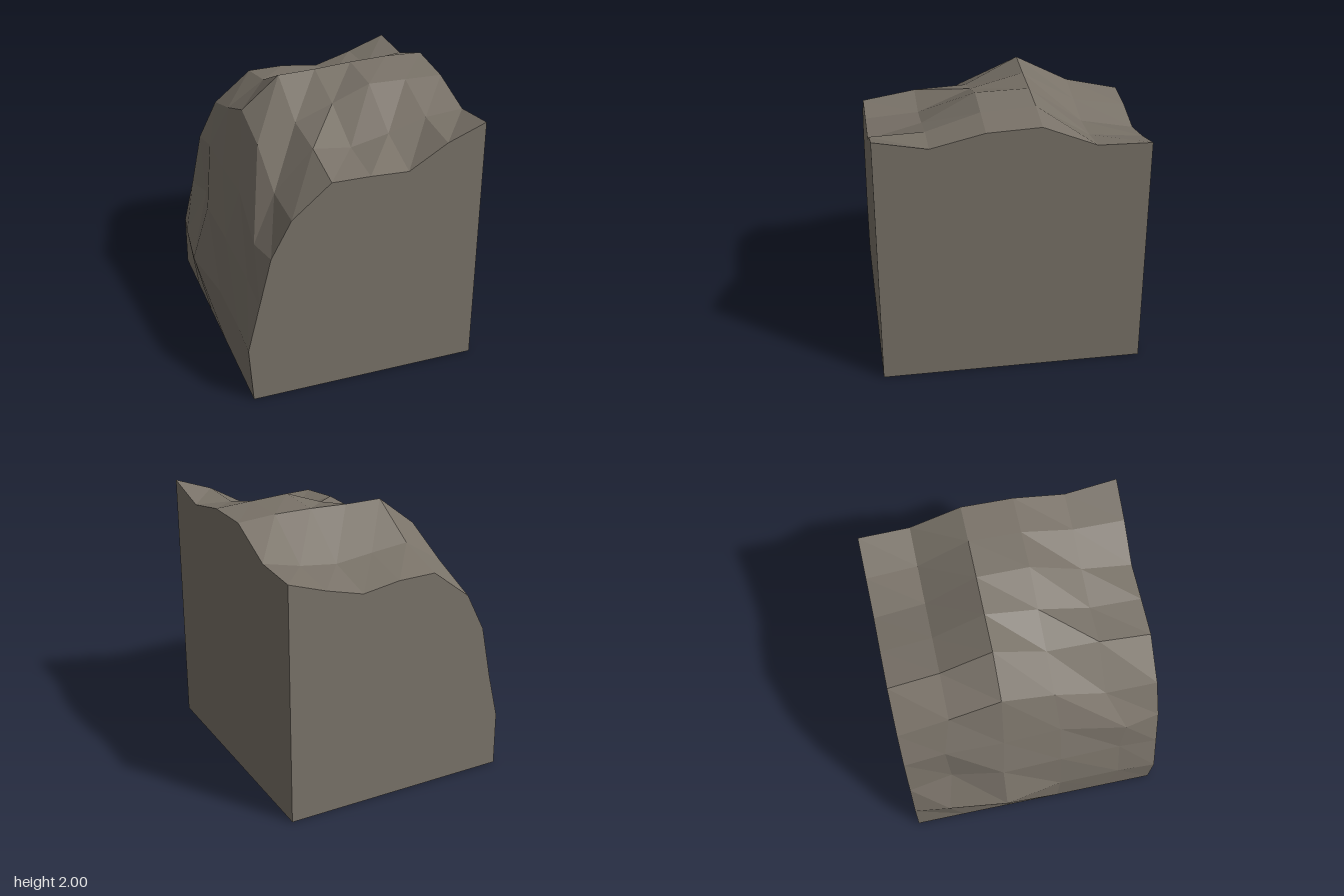
import * as THREE from 'three';

const ROWS = [-0.95, -0.57, -0.19, 0.19, 0.57, 0.95]; // z, back to front
const COLS = [-0.5, -0.215, 0.065, 0.345, 0.625, 0.905]; // x across the top

// Rough cliff side: three levels of [x, y, z], one point per row
const SIDE = [
  [[-0.8, 0.41, -0.95], [-0.85, 0.47, -0.68], [-0.91, 0.5, -0.24], [-0.825, 0.46, 0.2], [-0.82, 0.45, 0.66], [-0.83, 0.44, 0.95]],
  [[-0.72, 0.75, -0.95], [-0.69, 0.84, -0.62], [-0.78, 0.93, -0.24], [-0.765, 0.92, 0.2], [-0.74, 0.85, 0.66], [-0.74, 0.81, 0.95]],
  [[-0.64, 1.155, -0.95], [-0.64, 1.24, -0.64], [-0.66, 1.28, -0.21], [-0.65, 1.3, 0.21], [-0.695, 1.16, 0.7], [-0.65, 1.18, 0.95]],
];

// Heights of the top, one list per row, left to right along COLS
const TOP = [
  [1.44, 1.67, 1.67, 1.63, 1.71, 1.81],
  [1.575, 1.765, 1.74, 1.71, 1.75, 1.82],
  [1.74, 1.975, 1.98, 1.995, 2.0, 1.985],
  [1.65, 1.775, 1.88, 1.99, 1.98, 1.97],
  [1.46, 1.76, 1.72, 1.78, 1.86, 1.88],
  [1.46, 1.7, 1.695, 1.68, 1.85, 1.96],
];

// One cross-section per row: foot, cliff side, then the top
function section(j) {
  return [
    [-0.8, 0, ROWS[j]],
    ...SIDE.map((level) => level[j]),
    ...COLS.map((x, i) => [x, TOP[j][i], ROWS[j]]),
  ];
}

// Faceted skin stretched over the cross-sections
function skinGeometry(sections) {
  const n = sections[0].length;
  const index = [];
  for (let j = 0; j < sections.length - 1; j++) {
    for (let i = 0; i < n - 1; i++) {
      const a = j * n + i;
      const b = a + n;
      index.push(a, b, a + 1, b, b + 1, a + 1);
    }
  }
  const geometry = new THREE.BufferGeometry();
  geometry.setAttribute('position', new THREE.Float32BufferAttribute(sections.flat(2), 3));
  geometry.setIndex(index);
  const flat = geometry.toNonIndexed();
  flat.computeVertexNormals();
  return flat;
}

// Flat cut wall from an outline
function wallGeometry(points) {
  return new THREE.ShapeGeometry(new THREE.Shape(points.map(([x, y]) => new THREE.Vector2(x, y))));
}

export function createModel() {
  const group = new THREE.Group();
  group.name = 'cliffBlock';
  const rock = new THREE.MeshStandardMaterial({ color: 0x7a7369, flatShading: true, side: THREE.DoubleSide });
  rock.name = 'rock';

  const add = (name, geometry) => {
    const mesh = new THREE.Mesh(geometry, rock);
    mesh.name = name;
    group.add(mesh);
    return mesh;
  };

  const sections = ROWS.map((_, j) => section(j));
  add('cliffSurface', skinGeometry(sections));

  // Front and back walls; the underside stays open
  const front = add('frontWall', wallGeometry([...sections[5], [0.905, 0]]));
  front.position.z = 0.95;
  const back = add('backWall', wallGeometry([...sections[0].map(([x, y]) => [-x, y]), [-0.905, 0]]));
  back.rotation.y = Math.PI;
  back.position.z = -0.95;

  // Straight wall on the high side
  const edge = ROWS.map((z, j) => [-z, TOP[j][5]]);
  const side = add('sideWall', wallGeometry([[0.95, 0], ...edge, [-0.95, 0]]));
  side.rotation.y = Math.PI / 2;
  side.position.x = 0.905;

  return group;
}
